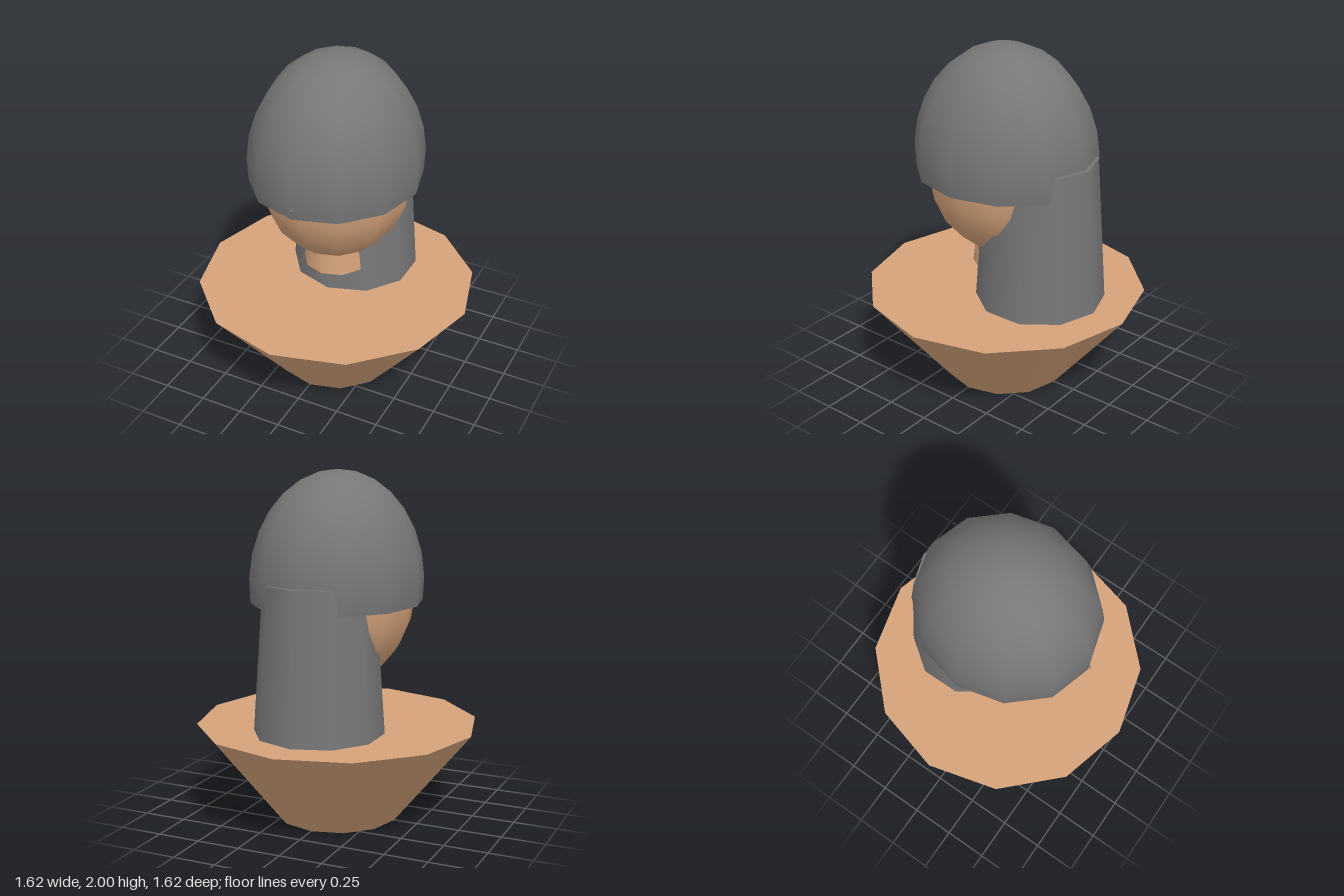
import * as THREE from 'three';

export function createModel() {
  const group = new THREE.Group();
  const skin = new THREE.MeshStandardMaterial({ color: 0xd4a27a });
  skin.name = 'skin';
  const grey = new THREE.MeshStandardMaterial({ color: 0x777777, side: THREE.DoubleSide });
  grey.name = 'darkGrey';

  const add = (name, geometry, material, y, z = 0) => {
    const mesh = new THREE.Mesh(geometry, material);
    mesh.name = name;
    mesh.position.set(0, y, z);
    group.add(mesh);
    return mesh;
  };

  // Tapered cylinder standing between two heights
  const column = (name, rTop, rBottom, y0, y1, sides, material, z) =>
    add(name, new THREE.CylinderGeometry(rTop, rBottom, y1 - y0, sides), material, (y0 + y1) / 2, z);

  column('shoulders', 0.81, 0.36, 0, 0.555, 12, skin);
  column('neck', 0.16, 0.19, 0.7, 0.92, 10, skin);
  column('backHair', 0.31, 0.37, 0.55, 1.4, 10, grey, -0.25);

  // Egg-shaped head
  add('head', new THREE.SphereGeometry(1, 12, 10).scale(0.44, 0.52, 0.465), skin, 1.31);

  // Open dome reaching a little below its widest ring
  const dome = new THREE.SphereGeometry(1, 12, 8, 0, Math.PI * 2, 0, Math.PI * 0.55);
  add('cap', dome.scale(0.487, 0.64, 0.537), grey, 1.36);

  // Tiny stud on the front of the cap
  add('capStud', new THREE.SphereGeometry(0.01, 6, 4), grey, 1.315, 0.534);

  return group;
}
